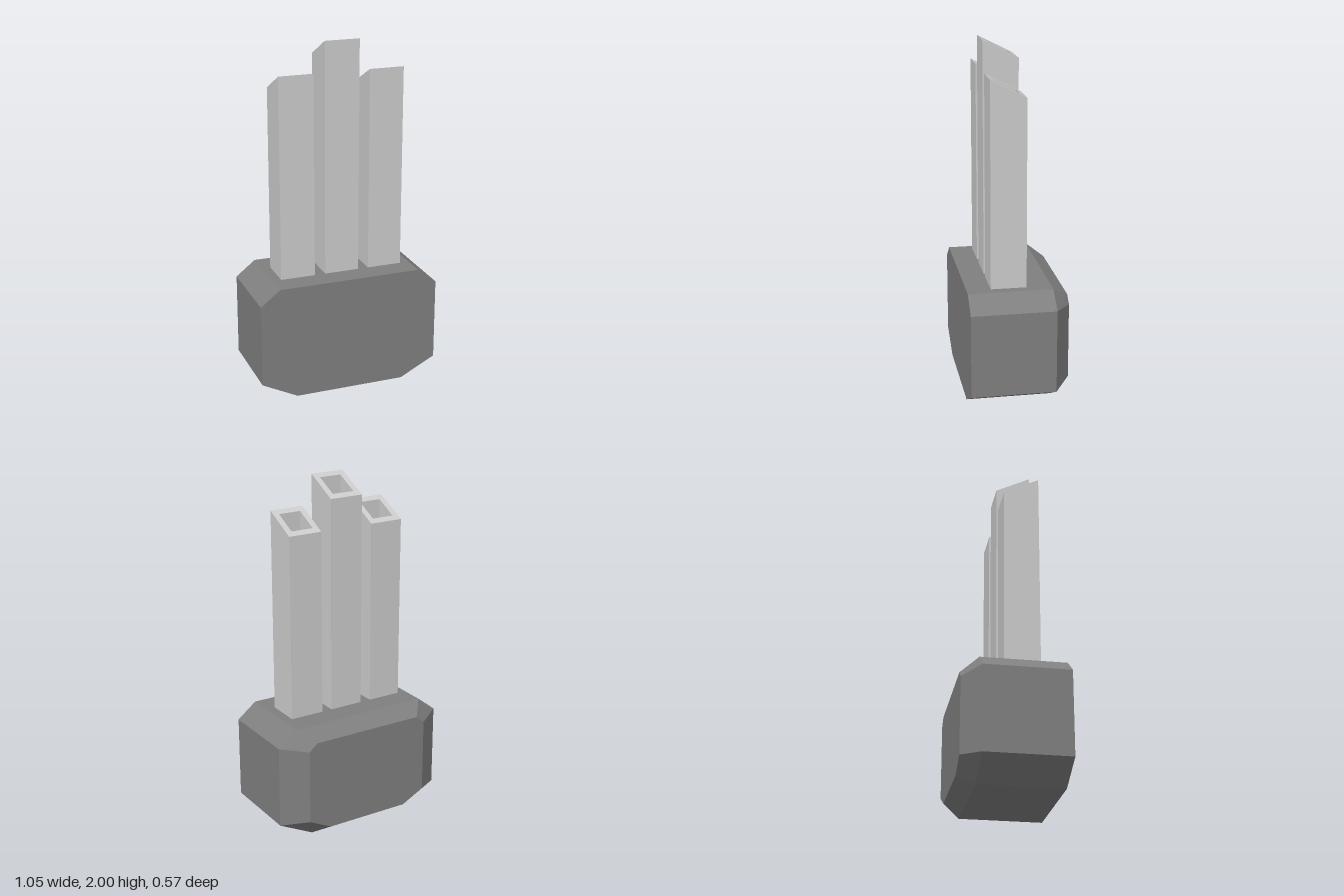
import * as THREE from 'three';

// Flat-shaded loft through convex outlines, listed front to back and counterclockwise from the front
function loft(rings) {
  const pos = [];
  const tri = (a, b, c) => pos.push(...a, ...b, ...c);
  const n = rings[0].length;
  for (let r = 0; r < rings.length - 1; r++) {
    for (let i = 0; i < n; i++) {
      const j = (i + 1) % n, A = rings[r], B = rings[r + 1];
      tri(A[i], B[i], B[j]);
      tri(A[i], B[j], A[j]);
    }
  }
  const front = rings[0], back = rings[rings.length - 1];
  for (let i = 1; i < n - 1; i++) {
    tri(front[0], front[i], front[i + 1]);
    tri(back[0], back[i + 1], back[i]);
  }
  const g = new THREE.BufferGeometry();
  g.setAttribute('position', new THREE.Float32BufferAttribute(pos, 3));
  g.computeVertexNormals();
  return g;
}

// Symmetric octagon from its right half, bottom to top
function octagon(half, z) {
  const right = half.map(([x, y]) => [x, y, z]);
  const left = half.map(([x, y]) => [-x, y, z]).reverse();
  return [...right, ...left];
}

function square(PathType, h) {
  const p = new PathType();
  p.moveTo(-h, -h);
  p.lineTo(h, -h);
  p.lineTo(h, h);
  p.lineTo(-h, h);
  p.closePath();
  return p;
}

// Hollow square tube whose top slopes down towards the back
function tubeGeometry(height, slope) {
  const half = 0.1;
  const shape = square(THREE.Shape, half);
  shape.holes.push(square(THREE.Path, 0.066));
  const g = new THREE.ExtrudeGeometry(shape, { depth: height, bevelEnabled: false });
  g.rotateX(-Math.PI / 2);
  const p = g.attributes.position;
  for (let i = 0; i < p.count; i++) {
    if (p.getY(i) > height / 2) p.setY(i, height - (half - p.getZ(i)) * slope);
  }
  g.computeVertexNormals();
  return g;
}

export function createModel() {
  const model = new THREE.Group();
  const dark = new THREE.MeshStandardMaterial({ color: 0x7f7f7f, flatShading: true });
  const grey = new THREE.MeshStandardMaterial({ color: 0xcccccc, flatShading: true });

  // Base block with cut corners and a chamfered back
  const outline = [[0.32, 0], [0.527, 0.105], [0.527, 0.58], [0.415, 0.668]];
  const backOutline = [[0.25, 0.062], [0.386, 0.13], [0.386, 0.562], [0.336, 0.605]];
  const base = new THREE.Mesh(loft([
    octagon(outline, 0.285),
    octagon(outline, -0.19),
    octagon(backOutline, -0.285),
  ]), dark);
  base.name = 'base';
  model.add(base);

  // Three upright tubes, the middle one taller
  const baseTop = 0.668;
  for (const [name, x, top] of [
    ['rightTube', -0.264, 1.828], ['middleTube', -0.001, 2], ['leftTube', 0.26, 1.828],
  ]) {
    const tube = new THREE.Mesh(tubeGeometry(top - baseTop, 0.51), grey);
    tube.position.set(x, baseTop, 0.05);
    tube.name = name;
    model.add(tube);
  }
  return model;
}
